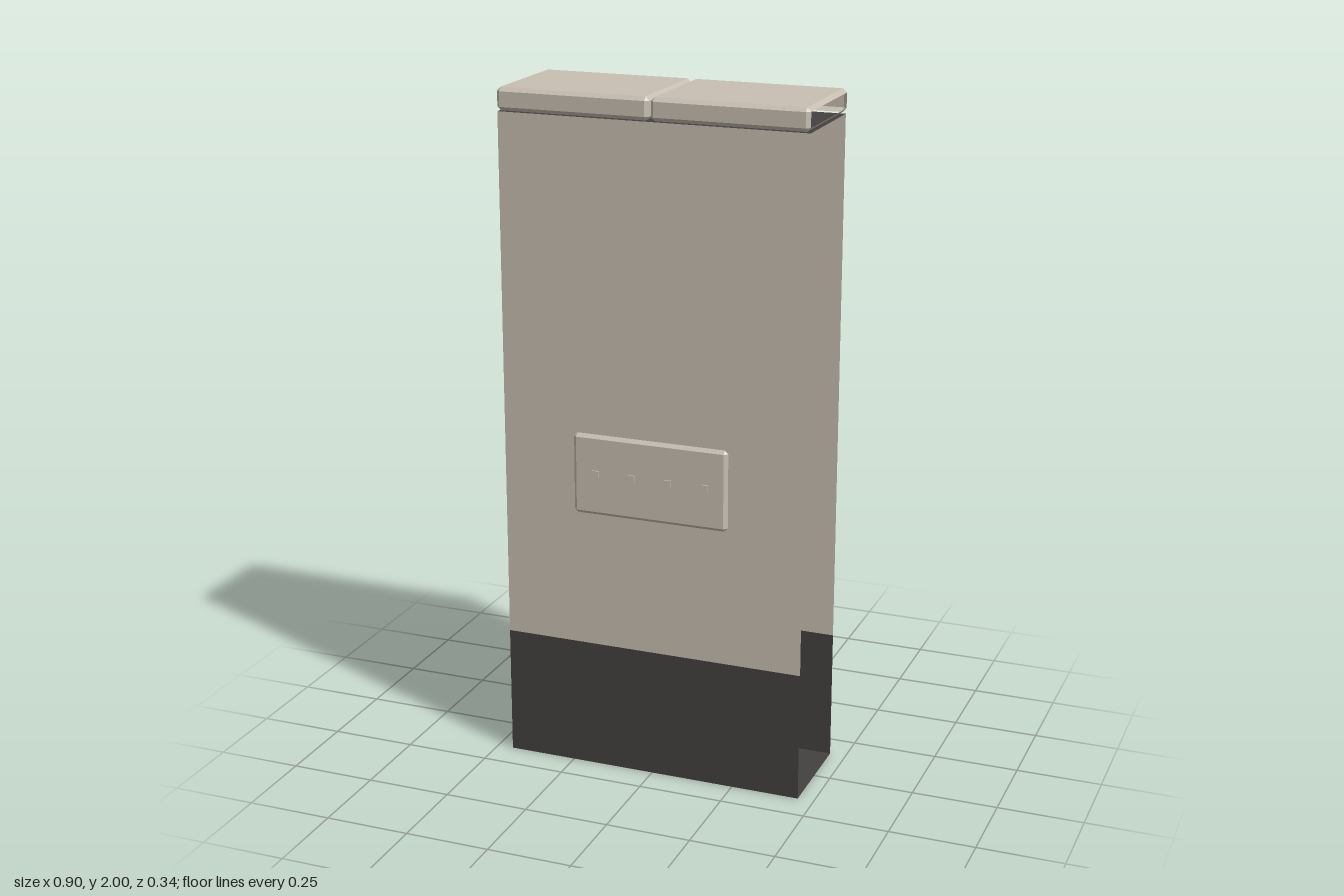
import * as THREE from 'three';
import { ConvexGeometry } from 'three/addons/geometries/ConvexGeometry.js';

const W = 0.904, HALF_D = 0.155, SEAM = 0.385, TOP = 1.932;

// Box with chamfered edges; faces whose normal passes drop() are left out.
function chamferBox(w, h, d, c, drop = () => false) {
  const points = [];
  for (const x of [-1, 1]) for (const y of [-1, 1]) for (const z of [-1, 1]) {
    for (let axis = 0; axis < 3; axis++) {
      const inset = [c, c, c];
      inset[axis] = 0;
      points.push(new THREE.Vector3(x * (w / 2 - inset[0]), y * (h / 2 - inset[1]), z * (d / 2 - inset[2])));
    }
  }
  const hull = new ConvexGeometry(points);
  const p = hull.attributes.position, n = hull.attributes.normal;
  const kept = [];
  for (let i = 0; i < p.count; i += 3) {
    if (drop(n.getX(i), n.getY(i))) continue;
    for (let k = i; k < i + 3; k++) kept.push(p.getX(k), p.getY(k), p.getZ(k));
  }
  const geometry = new THREE.BufferGeometry();
  geometry.setAttribute('position', new THREE.Float32BufferAttribute(kept, 3));
  geometry.computeVertexNormals();
  return geometry;
}

export function createModel() {
  const beige = new THREE.MeshStandardMaterial({ color: 0xc8bfb2, side: THREE.DoubleSide });
  beige.name = 'warm beige';
  const dark = new THREE.MeshStandardMaterial({ color: 0x444040, side: THREE.DoubleSide });
  dark.name = 'dark grey';

  const model = new THREE.Group();
  model.name = 'cabinet';
  const add = (name, geometry, material, x, y, z) => {
    const mesh = new THREE.Mesh(geometry, material);
    mesh.name = name;
    mesh.position.set(x, y, z);
    model.add(mesh);
    return mesh;
  };

  // Front and back sheets: beige above, dark plinth below; the sides stay open
  for (const [name, s] of [['front', 1], ['back', -1]]) {
    const upper = add(name + 'Panel', new THREE.PlaneGeometry(W, TOP - SEAM), beige, 0, (TOP + SEAM) / 2, s * HALF_D);
    const lower = add(name + 'Plinth', new THREE.PlaneGeometry(W, SEAM), dark, 0, SEAM / 2, s * HALF_D);
    if (s < 0) upper.rotation.y = lower.rotation.y = Math.PI;
  }

  // Floor and inner ceiling
  add('floor', new THREE.PlaneGeometry(W, HALF_D * 2), dark, 0, 0, 0).rotation.x = Math.PI / 2;
  add('ceiling', new THREE.PlaneGeometry(W, HALF_D * 2), dark, 0, TOP, 0).rotation.x = Math.PI / 2;

  // Two chamfered lids, open below and at their outer ends
  for (const [name, s] of [['leftLid', 1], ['rightLid', -1]]) {
    const shell = chamferBox(0.45, 0.065, 0.337, 0.011, (nx, ny) => ny < -0.95 || nx * s > 0.95);
    add(name, shell, beige, s * 0.227, 1.9675, -0.0035);
  }

  // Front plate with a row of four small studs
  add('frontPlate', chamferBox(0.466, 0.24, 0.043, 0.01), beige, -0.002, 0.91, 0.1445);
  for (const x of [-0.165, -0.055, 0.055, 0.165]) {
    add('stud', new THREE.BoxGeometry(0.02, 0.02, 0.008), beige, x, 0.915, 0.166);
  }
  return model;
}
